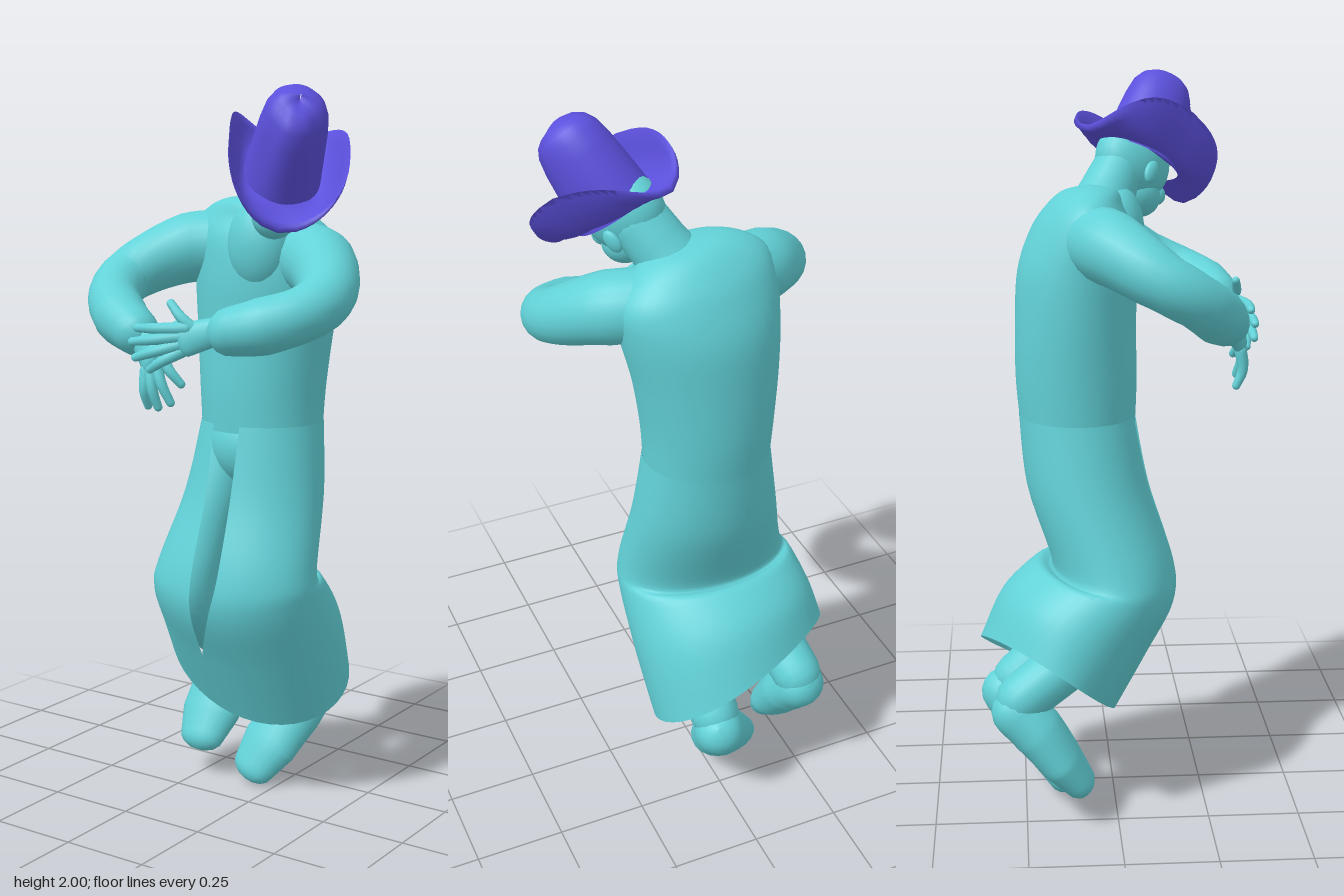
import * as THREE from 'three';

const V = (p) => new THREE.Vector3(...p);
const teal = new THREE.MeshStandardMaterial({ color: 0x62d2d8 });
const cloth = new THREE.MeshStandardMaterial({ color: 0x62d2d8, side: THREE.DoubleSide });
const violet = new THREE.MeshStandardMaterial({ color: 0x5b50dc });

// Smooth surface through rows of points; closed rows wrap around
function skin(rows, closed) {
  const n = rows[0].length, index = [];
  for (let i = 0; i < rows.length - 1; i++) {
    for (let j = 0; j < (closed ? n : n - 1); j++) {
      const k = (j + 1) % n;
      const a = i * n + j, b = a + n, c = (i + 1) * n + k, d = i * n + k;
      index.push(a, b, c, a, c, d);
    }
  }
  const g = new THREE.BufferGeometry();
  g.setAttribute('position', new THREE.Float32BufferAttribute(rows.flat(2), 3));
  g.setIndex(index);
  g.computeVertexNormals();
  return g;
}

// Rounded limb along a path; radii are [across, along ref] at each path point
function limb(path, radii, ref = [0, 1, 0], sides = 20, steps = 8) {
  const curve = new THREE.CatmullRomCurve3(path.map(V));
  const count = (path.length - 1) * steps, stations = [];
  const station = (t, push = 0, scale = 1) => {
    const f = t * (path.length - 1), i = Math.min(Math.floor(f), path.length - 2);
    const r = [0, 1].map((k) => THREE.MathUtils.lerp(radii[i][k], radii[i + 1][k], f - i));
    const dir = curve.getTangent(t), side = dir.clone().cross(V(ref)).normalize();
    const up = side.clone().cross(dir);
    const p = curve.getPoint(t).addScaledVector(dir, push * Math.min(...r));
    stations.push({ p, side, up, a: r[0] * scale, b: r[1] * scale });
  };
  const cap = [0, 1, 2, 3].map((k) => (k / 4) * Math.PI / 2);
  station(0, -1, 0.001);
  [...cap].reverse().slice(0, 3).forEach((a) => station(0, -Math.sin(a), Math.cos(a)));
  for (let i = 0; i <= count; i++) station(i / count);
  cap.slice(1).forEach((a) => station(1, Math.sin(a), Math.cos(a)));
  station(1, 1, 0.001);
  return skin(stations.map((s) => Array.from({ length: sides }, (_, j) => {
    const a = (j / sides) * Math.PI * 2;
    return s.p.clone().addScaledVector(s.side, s.a * Math.cos(a))
      .addScaledVector(s.up, s.b * Math.sin(a)).toArray();
  })), true);
}

// Garment from rings, top down:
// [xMin, xMax, zBack, yBack, zFront, yFront, roll, slitMin, slitMax]
function garment(rings, slit, sides = 44, steps = 6) {
  const rows = [], last = rings.length - 1;
  for (let s = 0; s <= last * steps; s++) {
    const i = Math.min(Math.floor(s / steps), last - 1), f = s / steps - i;
    const at = (k) => rings[Math.min(Math.max(k, 0), last)];
    const [x0, x1, zb, yb, zf, yf, roll, s0, s1] = rings[i].map((v, k) => {
      const m0 = (at(i + 1)[k] - at(i - 1)[k]) / 2, m1 = (at(i + 2)[k] - v) / 2, w = at(i + 1)[k];
      return v + f * (m0 + f * (3 * (w - v) - 2 * m0 - m1 + f * (2 * (v - w) + m0 + m1)));
    });
    const cx = (x0 + x1) / 2, rx = (x1 - x0) / 2;
    const t0 = slit ? Math.asin((s1 - cx) / rx) : 0;
    const t1 = Math.PI * 2 + (slit ? Math.asin((s0 - cx) / rx) : 0);
    rows.push(Array.from({ length: sides }, (_, j) => {
      const t = t0 + (t1 - t0) * j / (slit ? sides - 1 : sides);
      const k = (1 + Math.cos(t)) / 2, tilt = roll * Math.sin(t);
      // A rolled ring drops on its left and swings back there
      return [cx + rx * Math.sin(t), yb + (yf - yb) * k - tilt, zb + (zf - zb) * k - 0.8 * tilt * (1 - k)];
    }));
  }
  return skin(rows, !slit);
}

function makeHat() {
  const hat = new THREE.Group();
  const sides = 48;
  const ring = (fn) => Array.from({ length: sides }, (_, j) => fn((j / sides) * Math.PI * 2));

  // Crown: rounded top with a dimple on each side towards the front
  const crownProfile = [[0.001, 0.001, 0.245], [0.024, 0.032, 0.243], [0.048, 0.06, 0.236],
    [0.068, 0.082, 0.22], [0.08, 0.097, 0.195], [0.088, 0.106, 0.15],
    [0.094, 0.112, 0.08], [0.1, 0.118, 0.0], [0.104, 0.12, -0.02]];
  const crown = crownProfile.map(([rx, rz, y]) => ring((t) => {
    const high = Math.max(y, 0), dimple = Math.exp(-(((Math.abs(Math.sin(t)) - 0.75) / 0.25) ** 2));
    const pinch = Math.cos(t) > 0 ? 1 - high * 0.7 * dimple * Math.cos(t) : 1;
    return [rx * Math.sin(t) * pinch, y - high * 0.06 * Math.max(0, Math.cos(t)), rz * Math.cos(t) * pinch];
  }));

  // Brim: thick, squarish sheet with rolled-up sides
  const bend = (v) => Math.sign(v) * Math.abs(v) ** 0.62;
  const brimSteps = [0, 0.2, 0.4, 0.6, 0.8, 1];
  const brimRow = (k, drop) => ring((t) => {
    const sx = bend(Math.sin(t)), sz = bend(Math.cos(t));
    const x = (0.088 + 0.066 * k) * sx, z = (0.105 + 0.09 * k) * sz;
    return [x, 0.115 * k * k * Math.abs(sx) ** 1.8 - 0.02 * k * Math.abs(sz) - drop, z];
  });
  const brim = [...brimSteps.map((k) => brimRow(k, 0)), ...[...brimSteps].reverse().map((k) => brimRow(k, 0.016))];

  [['hatCrown', crown], ['hatBrim', brim]].forEach(([name, rows]) => {
    const m = new THREE.Mesh(skin(rows, true), violet);
    m.name = name;
    hat.add(m);
  });
  hat.name = 'hat';
  return hat;
}

export function createModel() {
  const model = new THREE.Group();
  const add = (name, geometry, material = teal, parent = model) => {
    const m = new THREE.Mesh(geometry, material);
    m.name = name;
    parent.add(m);
    return m;
  };
  const ball = (name, centre, radii, parent = model) => {
    const m = add(name, new THREE.SphereGeometry(1, 28, 20), teal, parent);
    m.position.set(...centre);
    m.scale.set(...radii);
  };

  // Upper robe
  const level = (x0, x1, zb, zf, y, roll = 0) => [x0, x1, zb, y, zf, y, roll];
  add('robeTop', garment([
    level(0.02, 0.022, -0.061, -0.059, 1.71), level(-0.09, 0.12, -0.13, 0.01, 1.695, 0.015),
    level(-0.175, 0.19, -0.18, 0.03, 1.65, 0.025), level(-0.21, 0.225, -0.218, 0.058, 1.59, 0.02),
    level(-0.212, 0.218, -0.253, 0.068, 1.49), level(-0.207, 0.185, -0.262, 0.062, 1.35),
    level(-0.197, 0.162, -0.262, 0.064, 1.2), level(-0.19, 0.155, -0.252, 0.06, 1.08)]), cloth);

  // Lower robe: open down the front, folding back below the knees
  add('robeSkirt', garment([
    [-0.192, 0.157, -0.255, 1.1, 0.062, 1.1, 0, -0.08, 0.01],
    [-0.23, 0.178, -0.235, 0.9, 0.1, 0.9, 0, -0.08, 0.005],
    [-0.285, 0.2, -0.17, 0.69, 0.163, 0.7, 0, -0.08, 0.005],
    [-0.31, 0.205, -0.215, 0.69, 0.165, 0.58, 0.01, -0.082, -0.025],
    [-0.335, 0.2, -0.305, 0.61, 0.09, 0.43, 0.04, -0.09, -0.095],
    [-0.355, 0.178, -0.36, 0.485, 0.0, 0.265, 0.085, -0.1, -0.14]], true), cloth);

  // Trousers and feet
  ball('hips', [-0.02, 1.03, -0.09], [0.145, 0.13, 0.138]);
  const legs = {
    rightLeg: [[-0.105, 1.03, -0.07], [-0.145, 0.8, 0], [-0.175, 0.6, 0.03], [-0.2, 0.47, -0.11], [-0.235, 0.36, -0.26]],
    leftLeg: [[0.065, 1.03, -0.07], [0.075, 0.8, 0], [0.085, 0.6, 0.03], [0.055, 0.45, -0.11], [0.03, 0.31, -0.27]],
  };
  const legRadii = [0.085, 0.08, 0.075, 0.075, 0.07].map((r) => [r, r]);
  for (const [name, path] of Object.entries(legs)) add(name, limb(path, legRadii, [1, 0, 0]));
  const footRadii = [[0.07, 0.068], [0.086, 0.072], [0.093, 0.06], [0.072, 0.046]];
  const feet = {
    rightFoot: [[-0.24, 0.325, -0.275], [-0.24, 0.27, -0.22], [-0.24, 0.18, -0.155], [-0.24, 0.12, -0.11]],
    leftFoot: [[0.03, 0.27, -0.305], [0, 0.205, -0.248], [-0.045, 0.115, -0.18], [-0.075, 0.05, -0.14]],
  };
  for (const [name, path] of Object.entries(feet)) add(name, limb(path, footRadii, [0, 0.7, 0.7]));

  // Sleeves
  const sleeveRadii = [0.095, 0.096, 0.074, 0.07, 0.073, 0.063].map((r) => [r, r]);
  add('rightSleeve', limb([[-0.07, 1.58, -0.08], [-0.205, 1.57, -0.015], [-0.315, 1.5, 0.11],
    [-0.305, 1.45, 0.195], [-0.235, 1.4, 0.255], [-0.165, 1.37, 0.285]], sleeveRadii));
  add('leftSleeve', limb([[0.07, 1.56, -0.085], [0.215, 1.54, -0.015], [0.315, 1.47, 0.12],
    [0.302, 1.435, 0.205], [0.225, 1.405, 0.272], [0.15, 1.39, 0.298]], sleeveRadii));

  // Hands: palm, then fingers from knuckle to tip, thumb last
  const hand = (name, wrist, knuckle, spread, tips) => {
    const g = new THREE.Group();
    g.name = name;
    add('palm', limb([wrist, knuckle], [[0.034, 0.028], [0.044, 0.02]], [0, 0, 1], 14, 4), teal, g);
    tips.forEach((tip, i) => {
      const thumb = i === 4;
      const from = V(thumb ? wrist : knuckle);
      if (thumb) from.lerp(V(knuckle), 0.5);
      else from.addScaledVector(V(spread), i - 1.5);
      const mid = from.clone().lerp(V(tip), 0.55);
      mid.z += 0.012;
      add(thumb ? 'thumb' : 'finger', limb([from.toArray(), mid.toArray(), tip],
        [[0.017, 0.016], [0.014, 0.014], [0.011, 0.011]], [0, 0, 1], 10, 4), teal, g);
    });
    model.add(g);
  };
  hand('rightHand', [-0.14, 1.36, 0.295], [-0.07, 1.305, 0.335], [0.015, 0.018, 0],
    [[-0.095, 1.185, 0.325], [-0.055, 1.185, 0.335], [-0.015, 1.2, 0.335], [0.015, 1.25, 0.33], [-0.01, 1.4, 0.31]]);
  hand('leftHand', [0.11, 1.39, 0.3], [0.03, 1.365, 0.335], [-0.006, -0.02, 0],
    [[-0.1, 1.39, 0.36], [-0.11, 1.355, 0.37], [-0.1, 1.315, 0.37], [-0.065, 1.285, 0.355], [-0.015, 1.455, 0.33]]);

  // Neck and open collar
  add('neck', limb([[0.025, 1.6, -0.05], [0.075, 1.68, -0.01], [0.12, 1.75, 0.03]],
    [[0.09, 0.09], [0.078, 0.076], [0.076, 0.07]], [0, 0, 1]));
  ball('chest', [0.045, 1.585, 0.012], [0.092, 0.125, 0.076]);

  // Head bowed forward, turned and tipped to its left, wearing the hat
  const head = new THREE.Group();
  head.name = 'head';
  ball('skull', [0, -0.03, -0.02], [0.083, 0.105, 0.115], head);
  ball('jaw', [0, -0.1, 0.03], [0.06, 0.06, 0.07], head);
  ball('nose', [0, -0.065, 0.1], [0.016, 0.026, 0.024], head);
  for (const s of [-1, 1]) ball('ear', [s * 0.084, -0.065, -0.01], [0.012, 0.032, 0.022], head);
  head.add(makeHat());
  const forward = V([0.44, -0.55, 0.71]).normalize();
  const side = new THREE.Vector3(0, 1, 0).cross(forward).normalize();
  const up = forward.clone().cross(side);
  head.quaternion.setFromRotationMatrix(new THREE.Matrix4().makeBasis(side, up, forward));
  head.rotateZ(-0.2);
  head.position.set(0.162, 1.77, 0.088);
  model.add(head);

  return model;
}
